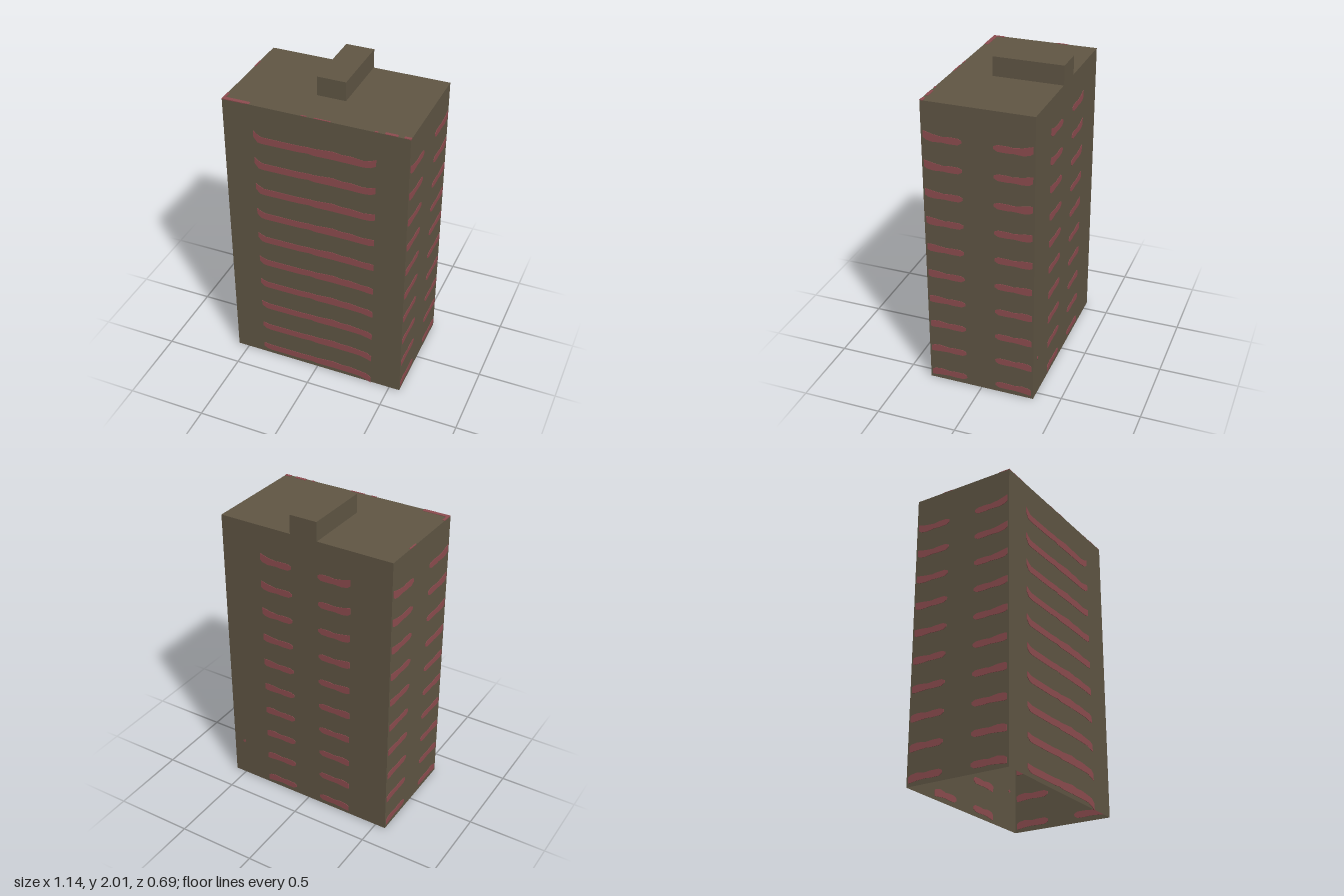
import * as THREE from 'three';

const W = 1.14, D = 0.68, H = 1.88, FLOORS = 10;
const PLATE = 0.005;

// Box with its underside left open
function openBox(w, h, d) {
  const geo = new THREE.BoxGeometry(w, h, d);
  const index = Array.from(geo.index.array);
  index.splice(18, 6);
  geo.setIndex(index);
  geo.clearGroups();
  return geo;
}

// Thin plate from [position, low, high] stations, centred on the wall surface
function bandGeometry(stations) {
  const low = stations.map(([u, lo]) => new THREE.Vector2(u, lo));
  const high = stations.map(([u, , hi]) => new THREE.Vector2(u, hi)).reverse();
  const geo = new THREE.ExtrudeGeometry(new THREE.Shape([...low, ...high]), {
    depth: PLATE, bevelEnabled: false,
  });
  return geo.translate(0, 0, -PLATE / 2);
}

// Long front band; the ends turn up on high floors and down at street level
function frontBand(t) {
  const left = 0.03 * t, right = -0.035 + 0.055 * t;
  return bandGeometry([
    [-0.38, -0.005 + left * 0.6, 0.025 + left],
    [-0.355, -0.02, 0.022 + left * 0.4],
    [-0.33, -0.024, 0.02],
    [-0.10, -0.023, 0.02],
    [-0.04, -0.018, 0.024],
    [0.0, -0.024, 0.022],
    [0.11, -0.022, 0.032],
    [0.17, -0.023, 0.024],
    [0.22, -0.023, 0.027],
    [0.30, -0.025, 0.018],
    [0.345, -0.026 + right * 0.4, 0.022 + right * 0.3],
    [0.375, -0.02 + right, 0.022 + right],
  ]);
}

// Short band running from the inner end a to the outer end b
function shortBand(a, b, t) {
  const tilt = -0.015 + 0.035 * t;
  const rows = [
    [0, -0.006, 0.01],
    [0.1, -0.02, 0.021],
    [0.35, -0.021, 0.021],
    [0.5, -0.018, 0.017],
    [0.75, -0.022, 0.025],
    [0.92, -0.022 + tilt * 0.4, 0.026 + tilt * 0.5],
    [1, -0.016 + tilt * 0.8, 0.022 + tilt],
  ].map(([k, lo, hi]) => [a + (b - a) * k, lo, hi]);
  return bandGeometry(b > a ? rows : rows.reverse());
}

export function createModel() {
  const model = new THREE.Group();
  model.name = 'towerBlock';
  const wall = new THREE.MeshStandardMaterial({ color: 0x605644, side: THREE.DoubleSide });
  wall.name = 'olive brown wall';
  const red = new THREE.MeshStandardMaterial({ color: 0x8d4c4f, side: THREE.DoubleSide });
  red.name = 'dull red band';

  const add = (name, geo, mat, x, y, z, ry = 0, parent = model) => {
    const mesh = new THREE.Mesh(geo, mat);
    mesh.name = name;
    mesh.position.set(x, y, z);
    mesh.rotation.y = ry;
    parent.add(mesh);
    return mesh;
  };

  // Hollow tower and rooftop housing
  add('towerShell', openBox(W, H, D), wall, 0, H / 2, 0);
  add('roofHousing', openBox(0.178, 0.12, 0.435), wall, 0.003, H + 0.06, -0.1245);

  // Window bands on every floor
  const bands = new THREE.Group();
  bands.name = 'windowBands';
  model.add(bands);
  for (let i = 0; i < FLOORS; i++) {
    const t = i / (FLOORS - 1);
    const y = 0.05 + i * 0.179;
    add('frontBand', frontBand(t), red, 0, y, D / 2, 0, bands);
    for (const s of [-1, 1]) {
      const side = shortBand(s * 0.095, s * 0.328, t);
      add('rightBand', side, red, W / 2, y, 0, Math.PI / 2, bands);
      add('leftBand', side, red, -W / 2, y, 0, -Math.PI / 2, bands);
      add('backBand', shortBand(s * 0.09, s * 0.305, t), red, 0, y, -D / 2, Math.PI, bands);
    }
  }

  // Red marks along the roof edges: [x0, x1, z0, z1]
  const marks = [
    [-0.57, -0.40, 0.315, 0.34], [-0.57, -0.555, 0.265, 0.315],
    [0.42, 0.495, 0.32, 0.34], [0.53, 0.57, 0.32, 0.34], [0.36, 0.38, 0.33, 0.34],
    [-0.08, -0.045, 0.332, 0.34], [0.0, 0.10, 0.332, 0.34],
    [-0.57, -0.562, -0.15, -0.08],
  ];
  for (const [x0, x1, z0, z1] of marks) {
    add('roofMark', new THREE.BoxGeometry(x1 - x0, PLATE, z1 - z0), red,
      (x0 + x1) / 2, H, (z0 + z1) / 2);
  }

  // Small spot low on the back wall
  const spot = new THREE.CylinderGeometry(0.01, 0.01, PLATE, 8).rotateX(Math.PI / 2);
  add('backSpot', spot, red, 0.495, 0.26, -D / 2);

  return model;
}
